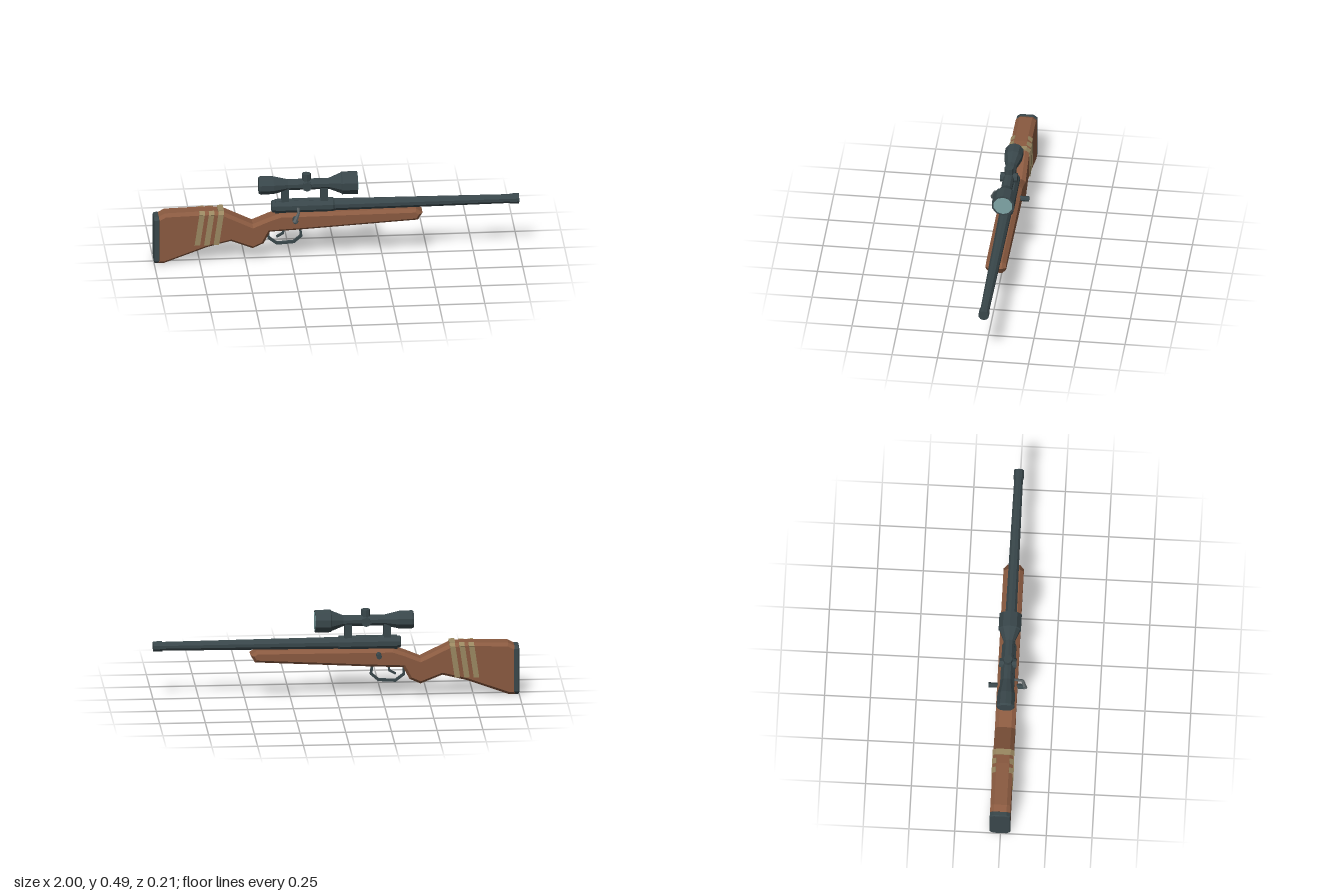
import * as THREE from 'three';

const paint = (name, color) => Object.assign(new THREE.MeshStandardMaterial({ color }), { name });

export function createModel() {
  const wood = paint('brown wood', 0x8a5a40);
  const metal = paint('gunmetal', 0x39474b);
  const steel = paint('worn steel', 0x596163);
  const tan = paint('tan strap', 0x9a8861);
  const glass = paint('lens glass', 0x7fa5a6);

  const model = new THREE.Group();
  const body = new THREE.Group();
  body.name = 'rifle';
  body.position.z = -0.003;
  model.add(body);

  // Every part is faceted: unshared vertices give one normal per face
  function add(name, geometry, material, x = 0, y = 0, z = 0) {
    const geo = geometry.index ? geometry.toNonIndexed() : geometry;
    geo.computeVertexNormals();
    const mesh = new THREE.Mesh(geo, material);
    mesh.name = name;
    mesh.position.set(x, y, z);
    body.add(mesh);
    return mesh;
  }

  const shapeOf = (pts) => new THREE.Shape(pts.map(([x, y]) => new THREE.Vector2(x, y)));

  // Side outline extruded to a width centred on z, with chamfered edges
  function slab(pts, width, chamferZ = 0, chamfer = 0) {
    const geo = new THREE.ExtrudeGeometry(shapeOf(pts), {
      depth: width - 2 * chamferZ, bevelEnabled: chamfer > 0, bevelSegments: 1,
      bevelThickness: chamferZ, bevelSize: chamfer, bevelOffset: -chamfer,
    });
    return geo.translate(0, 0, -width / 2 + chamferZ);
  }

  // Ten-sided turned part along x from [x, radius] stations, capped at both ends
  function turned(stations) {
    const pts = [[stations[0][0], 0], ...stations, [stations.at(-1)[0], 0]];
    return new THREE.LatheGeometry(pts.map(([x, r]) => new THREE.Vector2(r, x)), 10, Math.PI / 2)
      .rotateZ(-Math.PI / 2);
  }

  // Tapered rod between two points
  function rod(a, b, r1, r2, sides = 8) {
    const p = new THREE.Vector3(...a), q = new THREE.Vector3(...b);
    const dir = q.clone().sub(p);
    const geo = new THREE.CylinderGeometry(r2, r1, dir.length(), sides);
    geo.applyQuaternion(new THREE.Quaternion().setFromUnitVectors(new THREE.Vector3(0, 1, 0), dir.normalize()));
    p.add(q).multiplyScalar(0.5);
    return geo.translate(p.x, p.y, p.z);
  }

  // Bent flat strip following a side path, with mitred corners
  function strip(path, thickness, width) {
    const v = path.map(([x, y]) => new THREE.Vector2(x, y));
    const left = [], right = [];
    v.forEach((p, i) => {
      const d1 = (i > 0 ? p.clone().sub(v[i - 1]) : v[1].clone().sub(p)).normalize();
      const d2 = (i < v.length - 1 ? v[i + 1].clone().sub(p) : d1.clone()).normalize();
      const n1 = new THREE.Vector2(-d1.y, d1.x);
      const n = n1.clone().add(new THREE.Vector2(-d2.y, d2.x)).normalize();
      n.multiplyScalar(thickness / 2 / n.dot(n1));
      left.push([p.x + n.x, p.y + n.y]);
      right.unshift([p.x - n.x, p.y - n.y]);
    });
    return slab([...left, ...right], width);
  }

  // Stock and butt pad
  add('stock', slab([
    [-0.985, 0.003], [-0.945, 0.003], [-0.71, 0.088], [-0.58, 0.12], [-0.46, 0.073],
    [-0.40, 0.10], [-0.365, 0.167], [-0.18, 0.175], [0.445, 0.21], [0.47, 0.252],
    [0.435, 0.276], [-0.31, 0.272], [-0.375, 0.25], [-0.46, 0.215], [-0.625, 0.295],
    [-0.70, 0.301], [-0.94, 0.295], [-0.985, 0.27],
  ], 0.111, 0.021, 0.016), wood);

  const pad = new THREE.ExtrudeGeometry(shapeOf([
    [-0.056, 0.022], [-0.036, 0.004], [0.036, 0.004], [0.056, 0.022],
    [0.056, 0.262], [0.036, 0.277], [-0.036, 0.277], [-0.056, 0.262],
  ]), { depth: 0.02, bevelEnabled: true, bevelSegments: 1, bevelThickness: 0.005, bevelSize: 0.005, bevelOffset: -0.005 });
  add('buttPad', pad.rotateY(Math.PI / 2), metal, -0.995);

  // Three slanted straps on both sides; the foremost one also crosses the comb
  for (const x of [-0.78, -0.728, -0.676]) {
    const bottom = 0.108, top = 0.286;
    for (const side of [1, -1]) {
      add('sideStrap', slab([[x, bottom], [x + 0.03, bottom], [x + 0.056, top], [x + 0.026, top]], 0.006),
        tan, 0, 0, side * 0.0555);
      const edge = new THREE.BoxGeometry(0.03, 0.028, 0.005).rotateX(-side * 0.92);
      add('strapEdge', edge, tan, x + 0.042, 0.2925, side * 0.0475);
    }
  }
  add('combStrap', new THREE.BoxGeometry(0.032, 0.009, 0.08), tan, -0.634, 0.3);

  // Receiver, barrel and muzzle
  const bore = 0.302;
  add('receiver', turned([[-0.355, 0.028], [-0.35, 0.034], [-0.335, 0.034], [-0.335, 0.041], [-0.02, 0.041], [-0.01, 0.034]]), metal, 0, bore);
  add('barrel', turned([[-0.02, 0.034], [0.955, 0.025]]), metal, 0, bore);
  add('muzzle', turned([[0.95, 0.029], [1, 0.029]]), metal, 0, bore);
  add('scopeRail', new THREE.BoxGeometry(0.32, 0.02, 0.036), metal, -0.175, 0.328);

  // Cross pin and bolt handle
  add('crossPin', rod([-0.23, 0.246, -0.102], [-0.23, 0.246, 0.096], 0.015, 0.015), metal);
  add('boltArm', rod([-0.212, 0.3, 0.03], [-0.212, 0.29, 0.083], 0.008, 0.007, 6), steel);
  add('boltKnob', rod([-0.211, 0.294, 0.083], [-0.235, 0.242, 0.097], 0.007, 0.014, 6), steel);

  // Trigger and guard
  add('triggerGuard', strip([
    [-0.375, 0.18], [-0.37, 0.118], [-0.325, 0.084], [-0.232, 0.09], [-0.192, 0.125], [-0.2, 0.185],
  ], 0.013, 0.018), metal);
  add('trigger', strip([[-0.285, 0.185], [-0.292, 0.142], [-0.327, 0.122]], 0.011, 0.014), metal);

  // Scope
  const sight = 0.427;
  add('scopeTube', turned([
    [-0.425, 0.046], [-0.415, 0.052], [-0.345, 0.05], [-0.265, 0.031], [-0.04, 0.031],
    [0.025, 0.058], [0.03, 0.064], [0.115, 0.064],
  ]), metal, 0, sight);
  add('frontLens', turned([[0.11, 0.053], [0.117, 0.053]]), glass, 0, sight);
  add('topTurret', new THREE.CylinderGeometry(0.025, 0.025, 0.065, 8), metal, -0.163, 0.457);
  add('sideTurret', new THREE.CylinderGeometry(0.026, 0.026, 0.094, 8).rotateX(Math.PI / 2), metal, -0.163, sight);
  for (const x of [-0.281, -0.067]) {
    add('scopeMount', new THREE.BoxGeometry(0.04, 0.1, 0.05), metal, x, 0.368);
  }

  return model;
}
